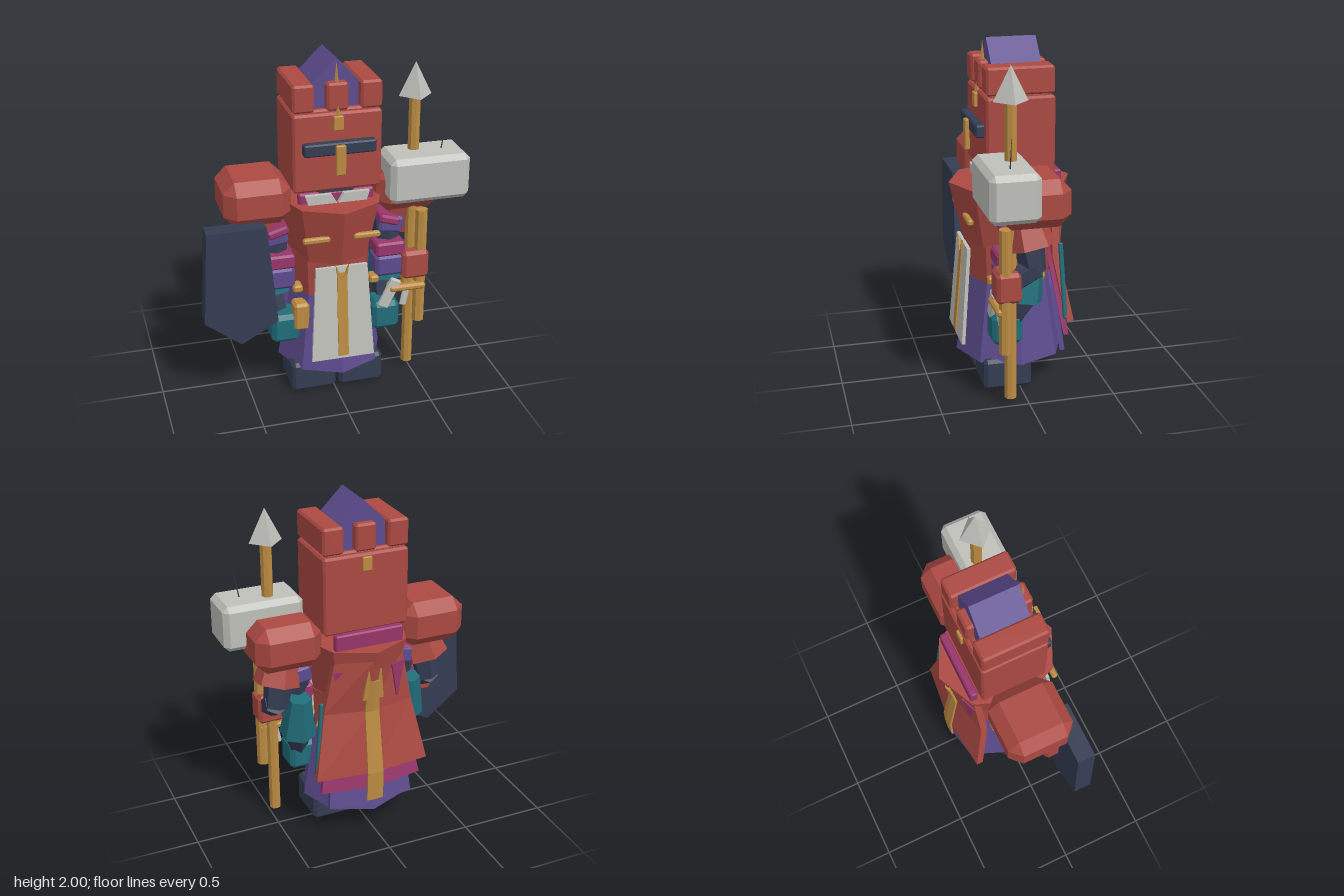
import * as THREE from 'three';
import { ConvexGeometry } from 'three/addons/geometries/ConvexGeometry.js';

const material = (name, color) => new THREE.MeshStandardMaterial({ name, color, flatShading: true });
const red = material('brick red', 0xab4942);
const purple = material('royal purple', 0x5d4b8e);
const navy = material('dark navy', 0x343c52);
const teal = material('deep teal', 0x206d79);
const magenta = material('plum magenta', 0x97356a);
const gold = material('old gold', 0xbb8b41);
const steel = material('pale steel', 0xbfc0ba);

const V = (x, y, z) => new THREE.Vector3(x, y, z);
const CX = 0.017; // body centre line

export function createModel() {
  const root = new THREE.Group();
  root.name = 'armouredFigure';

  const add = (name, geometry, mat, x = 0, y = 0, z = 0) => {
    const mesh = new THREE.Mesh(geometry, mat);
    mesh.name = name;
    mesh.position.set(x, y, z);
    root.add(mesh);
    return mesh;
  };

  // Box with chamfered edges, given by its ranges
  const block = (name, mat, [x0, x1], [y0, y1], [z0, z1], c = 0.02) => {
    const h = [(x1 - x0) / 2, (y1 - y0) / 2, (z1 - z0) / 2];
    const pts = [];
    for (let axis = 0; axis < 3; axis++)
      for (let k = 0; k < 8; k++) {
        const p = h.map((v, i) => ((k >> i) & 1 ? 1 : -1) * (i === axis ? v : v - c));
        pts.push(V(...p));
      }
    return add(name, new ConvexGeometry(pts), mat, (x0 + x1) / 2, (y0 + y1) / 2, (z0 + z1) / 2);
  };

  // Tapered rod between two points
  const limb = (name, mat, a, b, ra, rb = ra, sides = 6) => {
    const from = V(...a), to = V(...b), dir = to.clone().sub(from);
    const mesh = add(name, new THREE.CylinderGeometry(rb, ra, dir.length(), sides), mat);
    mesh.position.copy(from).add(to).multiplyScalar(0.5);
    mesh.quaternion.setFromUnitVectors(V(0, 1, 0), dir.normalize());
    return mesh;
  };

  // Eight-sided body section
  const section = (name, mat, y0, y1, r0, r1, sx) => {
    const mesh = add(name, new THREE.CylinderGeometry(r1, r0, y1 - y0, 8), mat, CX, (y0 + y1) / 2, 0);
    mesh.scale.x = sx;
    return mesh;
  };

  // Hanging cloth: top and bottom rows are [y, halfWidth, zCentre, zEdge]
  const cloth = (name, mat, top, bottom, thick) => {
    const g = new THREE.BoxGeometry(2, 1, thick, 2, 1, 1);
    const p = g.attributes.position;
    for (let i = 0; i < p.count; i++) {
      const u = p.getX(i);
      const [y, hw, zc, ze] = p.getY(i) > 0 ? top : bottom;
      p.setXYZ(i, u * hw, y, zc + (ze - zc) * Math.abs(u) + p.getZ(i));
    }
    return add(name, g, mat, CX, 0, 0);
  };

  // Several cloth panels joined end to end
  const drape = (name, mat, rows, thick) => {
    for (let i = 0; i + 1 < rows.length; i++) cloth(name, mat, rows[i], rows[i + 1], thick);
  };

  // Flat outline extruded along z
  const plate = (name, mat, points, z0, depth, x = 0) => {
    const shape = new THREE.Shape(points.map(([px, py]) => new THREE.Vector2(px, py)));
    return add(name, new THREE.ExtrudeGeometry(shape, { depth, bevelEnabled: false }), mat, x, 0, z0);
  };

  // Feet and robe
  block('rightFoot', navy, [-0.257, 0.007], [0, 0.185], [-0.07, 0.21]);
  block('leftFoot', navy, [0.028, 0.292], [0, 0.185], [-0.07, 0.21]);
  section('robeSkirt', purple, 0.16, 0.62, 0.32, 0.24, 0.98);
  section('waist', red, 0.62, 0.86, 0.24, 0.25, 0.98);
  section('chest', red, 0.84, 1.19, 0.265, 0.35, 0.89);

  // Tabard with forked gold stripe
  cloth('tabard', steel, [0.835, 0.15, 0.268, 0.268], [0.265, 0.185, 0.314, 0.314], 0.02);
  cloth('tabardStripe', gold, [0.8, 0.03, 0.281, 0.281], [0.285, 0.03, 0.326, 0.326], 0.012);
  for (const s of [-1, 1])
    plate('stripeFork', gold, [[0, 0.76], [s * 0.03, 0.79], [s * 0.038, 0.85]], 0.279, 0.014, CX);

  // Collar and neck
  block('neck', navy, [-0.1, 0.13], [1.15, 1.28], [-0.12, 0.16], 0.02);
  block('backCollar', magenta, [-0.185, 0.22], [1.14, 1.28], [-0.25, -0.205], 0.008);
  block('frontCollar', magenta, [-0.2, 0.235], [1.17, 1.25], [0.12, 0.165], 0.01);
  for (const s of [-1, 1]) {
    const x = CX + s * 0.145;
    plate('collarFlap', steel, [[0, 1.185], [s * 0.035, 1.245], [s * 0.185, 1.245], [s * 0.165, 1.18], [s * 0.06, 1.17]], 0.165, 0.025, CX);
    block('chestClasp', gold, [x - 0.077, x + 0.077], [0.997, 1.03], [0.255, 0.288], 0.008);
  }

  // Head, visor and trim
  block('helmet', red, [-0.234, 0.268], [1.265, 1.715], [-0.2, 0.185], 0.012);
  block('visor', navy, [-0.184, 0.224], [1.49, 1.56], [0.18, 0.235], 0.008);
  block('noseGuard', gold, [-0.01, 0.045], [1.38, 1.55], [0.23, 0.257], 0.004);
  for (const z of [0.193, -0.203])
    block('browPlate', gold, [CX - 0.028, CX + 0.028], [1.62, 1.7], [z - 0.012, z + 0.012], 0.004);
  add('browSpike', new THREE.ConeGeometry(0.016, 0.08, 4), gold, CX, 1.735, 0.182);

  // Battlements with a ridged roof between them
  for (const s of [-1, 1]) {
    const x = CX + s * 0.19;
    block('sideBattlement', red, [x - 0.061, x + 0.061], [1.725, 1.88], [-0.195, 0.185], 0.012);
    block('middleBattlement', red, [CX - 0.061, CX + 0.061], [1.725, 1.88], s > 0 ? [0.12, 0.185] : [-0.195, -0.135], 0.012);
  }
  block('helmetTop', red, [-0.21, 0.244], [1.7, 1.73], [-0.175, 0.16], 0.01);
  plate('roof', purple, [[-0.13, 1.71], [0.13, 1.71], [0.13, 1.87], [0, 2.0], [-0.13, 1.87]], -0.15, 0.28, CX);
  add('crestSpike', new THREE.ConeGeometry(0.024, 0.22, 4), gold, CX, 1.88, 0.15);

  // Shoulders
  block('rightShoulder', red, [-0.615, -0.235], [1.08, 1.345], [-0.2, 0.19], 0.065);
  block('leftShoulder', red, [0.26, 0.645], [1.08, 1.345], [-0.2, 0.19], 0.065);

  // Arms, mirrored about the centre line
  for (const s of [-1, 1]) {
    const side = s > 0 ? 'left' : 'right';
    const X = x => CX + s * x;
    const range = (a, b) => (s > 0 ? [X(a), X(b)] : [X(b), X(a)]);
    // weapon arm
    limb(side + 'ShoulderCuff', red, [X(0.47), 0.94, -0.01], [X(0.43), 1.1, 0.02], 0.135, 0.1);
    limb(side + 'UpperArm', navy, [X(0.48), 0.8, -0.02], [X(0.44), 1.02, 0.01], 0.07, 0.095);
    limb(side + 'Forearm', navy, [X(0.48), 0.74, 0.12], [X(0.48), 0.83, -0.03], 0.065, 0.07);
    block(side + 'Fist', red, range(0.393, 0.553), [0.65, 0.825], [0.06, 0.2], 0.02);
    // sleeve arm
    const sleeve = block(side + 'SleeveTop', purple, range(0.27, 0.415), [0.93, 1.03], [-0.06, 0.125], 0.015);
    sleeve.rotation.z = s * -0.15;
    const trim = block(side + 'SleeveTrim', magenta, range(0.265, 0.39), [0.99, 1.04], [-0.05, 0.14], 0.012);
    trim.rotation.z = s * -0.3;
    limb(side + 'SleeveArm', navy, [X(0.34), 0.78, 0.06], [X(0.33), 1.0, 0.03], 0.07, 0.08);
    block(side + 'CuffBand', magenta, range(0.24, 0.415), [0.8, 0.885], [0.0, 0.167], 0.012);
    block(side + 'Cuff', purple, range(0.24, 0.42), [0.67, 0.805], [0.01, 0.165], 0.02);
    // lowered arm
    limb(side + 'ElbowGuard', teal, [X(0.345), 0.59, 0], [X(0.345), 0.84, -0.045], 0.108, 0.068);
    limb(side + 'LowerArm', navy, [X(0.32), 0.43, 0.08], [X(0.35), 0.62, -0.02], 0.055, 0.075);
    block(side + 'Glove', teal, range(0.22, 0.385), [0.33, 0.505], [0.01, 0.185], 0.025);
    // belt fittings
    const knob = add(side + 'BeltKnob', new THREE.SphereGeometry(0.04, 6, 4), gold, X(0.24), 0.68, -0.12);
    knob.scale.z = 0.8;
    block(side + 'BeltBuckle', gold, range(0.2, 0.255), [0.645, 0.69], [0.1, 0.18], 0.01);
  }
  block('beltPouch', gold, [-0.24, -0.15], [0.41, 0.58], [0.1, 0.205], 0.015);

  // Layered cape, shortest layer outermost
  cloth('capeLining', purple, [0.6, 0.22, -0.25, -0.2], [0.2, 0.26, -0.312, -0.255], 0.03);
  cloth('capeMiddle', magenta, [0.75, 0.22, -0.24, -0.19], [0.32, 0.31, -0.315, -0.262], 0.03);
  drape('cape', red, [[1.15, 0.2, -0.315, -0.215], [0.8, 0.27, -0.26, -0.205], [0.42, 0.345, -0.312, -0.275]], 0.04);

  // Gold back stripe following the cape, with forked top and side patches
  drape('capeStripe', gold, [[1.0, 0.036, -0.316, -0.302], [0.8, 0.043, -0.285, -0.277],
    [0.42, 0.048, -0.337, -0.332], [0.24, 0.05, -0.332, -0.328]], 0.012);
  for (const s of [-1, 1]) {
    const fork = cloth('capeStripeFork', gold, [1.07, 0.004, -0.311, -0.311], [0.88, 0.028, -0.289, -0.289], 0.012);
    fork.position.x = CX + s * 0.036;
    const patch = cloth('capePatch', magenta, [1.06, 0.05, 0, 0], [0.85, 0.004, 0.004, 0.004], 0.009);
    patch.position.set(CX + s * 0.17, 0, -0.252);
    patch.rotation.y = s * -0.36;
  }
  block('sidePanel', teal, [0.315, 0.335], [0.43, 0.88], [-0.25, -0.225], 0.005).rotation.set(0.05, 0, 0.1);

  // Shield
  plate('shield', navy, [[-0.735, 1.11], [-0.765, 0.56], [-0.56, 0.4], [-0.345, 0.52], [-0.4, 1.11]], 0.14, 0.105);

  // Spear
  limb('spearShaft', gold, [0.48, 0.05, 0.105], [0.48, 1.76, 0.105], 0.034, 0.034, 8);
  add('spearHead', new THREE.ConeGeometry(0.095, 0.19, 4), steel, 0.48, 1.845, 0.105);

  // Hammer
  limb('hammerHandle', gold, [0.53, 0.35, 0.145], [0.53, 1.07, 0.145], 0.037, 0.037, 8);
  block('hammerHead', steel, [0.3, 0.765], [1.17, 1.435], [0.005, 0.28], 0.03);
  limb('hammerNeedle', navy, [0.63, 1.43, 0.145], [0.66, 1.6, 0.145], 0.004, 0.001, 4);

  // Blades and guard beside the left hand
  block('bladeGuard', gold, [0.335, 0.555], [0.575, 0.615], [0.11, 0.2], 0.012);
  block('bladeGrip', gold, [0.42, 0.47], [0.6, 0.67], [0.12, 0.17], 0.008);
  block('steelBlade', steel, [0.42, 0.46], [0.46, 0.58], [0.14, 0.16], 0.006).rotation.z = -0.2;
  block('slantedBlade', steel, [0.305, 0.37], [0.47, 0.66], [0.155, 0.19], 0.008).rotation.z = -0.45;

  return root;
}
